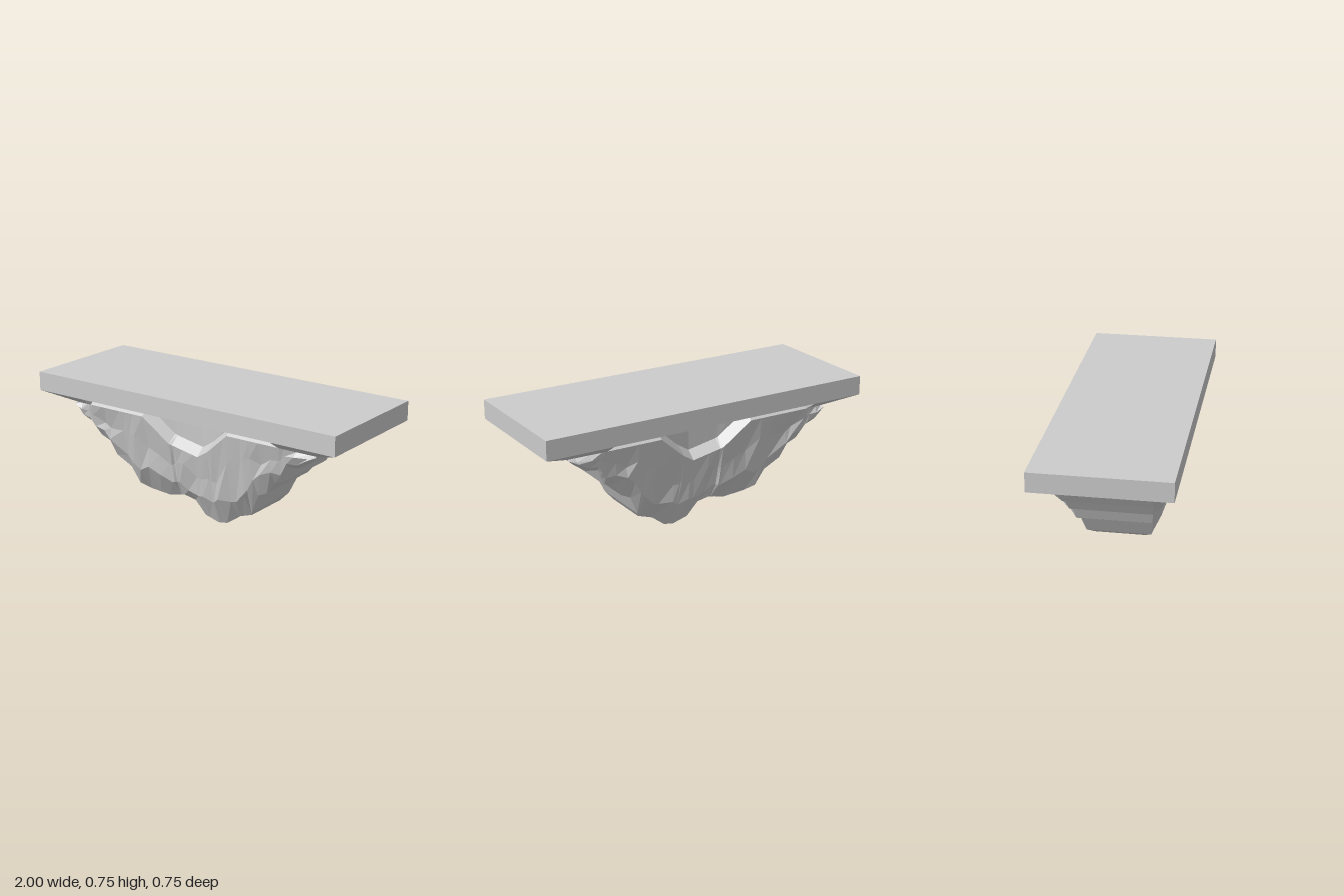
import * as THREE from 'three';

const rockMaterial = new THREE.MeshStandardMaterial({ color: 0xcccccc, flatShading: true, side: THREE.DoubleSide });

// Underside outline of the rock, [x, y]
const OUTLINE = [
  [-0.82, 0.57], [-0.77, 0.485], [-0.71, 0.46], [-0.67, 0.39], [-0.6, 0.36], [-0.57, 0.285], [-0.47, 0.23],
  [-0.42, 0.135], [-0.37, 0.1], [-0.23, 0.09], [-0.15, 0.115], [-0.1, 0.13], [-0.05, 0.1], [0.02, 0.025],
  [0.11, 0], [0.17, 0.01], [0.25, 0.07], [0.34, 0.1], [0.37, 0.14], [0.42, 0.25], [0.48, 0.28],
  [0.54, 0.355], [0.59, 0.37], [0.64, 0.47], [0.71, 0.48], [0.78, 0.53], [0.82, 0.57],
];
// Upper ridge of the rock face, [x, y], dipping in the middle
const RIDGE = [
  [-0.82, 0.57], [-0.68, 0.59], [-0.3, 0.59], [-0.13, 0.45], [0.05, 0.41],
  [0.13, 0.46], [0.28, 0.59], [0.61, 0.59], [0.82, 0.57],
];
// Half depth of the ridge, [x, z]
const RIDGE_DEPTH = [
  [-0.82, 0.25], [-0.68, 0.3], [-0.3, 0.3], [-0.13, 0.272], [0.05, 0.262],
  [0.13, 0.272], [0.28, 0.3], [0.61, 0.3], [0.82, 0.25],
];
// Half depth of the underside edge and of the bulging face, [y, z]
const EDGE_DEPTH = [[0, 0.137], [0.1, 0.14], [0.14, 0.185], [0.25, 0.2], [0.36, 0.215], [0.47, 0.235], [0.57, 0.25]];
const BULGE_DEPTH = [[0, 0.137], [0.06, 0.17], [0.12, 0.215], [0.23, 0.24], [0.44, 0.272], [0.59, 0.3]];

function sample(table, t) {
  if (t <= table[0][0]) return table[0][1];
  for (let i = 1; i < table.length; i++) {
    const [a, va] = table[i - 1], [b, vb] = table[i];
    if (t <= b) return va + (vb - va) * (t - a) / (b - a);
  }
  return table[table.length - 1][1];
}

// One column of the rock face, from the underside edge up to the slab
function column(x) {
  const y0 = sample(OUTLINE, x), y1 = sample(RIDGE, x);
  const z0 = sample(EDGE_DEPTH, y0), z1 = sample(RIDGE_DEPTH, x);
  const points = [[x, y0, z0]];
  const inset = Math.abs(x) < 0.125 ? 0.012 : 0; // middle chunk sits back between two cracks
  [0.3, 0.65].forEach((s, row) => {
    const wave = Math.sin(x * 17 + row * 2.1) * 0.6 + Math.sin(x * 41 + row * 4) * 0.4;
    const t = s + wave * 0.1;
    const y = y0 + (y1 - y0) * t;
    const limit = z0 + (z1 - z0) * Math.sqrt(t);
    const z = Math.min(sample(BULGE_DEPTH, y), limit + 0.035) + wave * 0.012 - 0.008 - inset;
    points.push([x + Math.sin(x * 23 + row) * 0.008, y, z]);
  });
  points.push([x, y1, z1 - inset * 0.5]);
  // Shelf behind the ridge, then the recessed wall up to the slab
  const shelf = x > -0.69 && x < 0.62 ? 0.06 : 0;
  points.push([x, y1 + shelf * 0.75, z1 - shelf]);
  points.push([x, 0.645, z1 - shelf + 0.005]);
  return points;
}

function facetMesh(name, quads) {
  const positions = [];
  for (const [a, b, c, d] of quads) positions.push(...a, ...b, ...c, ...a, ...c, ...d);
  const geometry = new THREE.BufferGeometry();
  geometry.setAttribute('position', new THREE.Float32BufferAttribute(positions, 3));
  geometry.computeVertexNormals();
  const mesh = new THREE.Mesh(geometry, rockMaterial);
  mesh.name = name;
  return mesh;
}

const mirrorZ = ([x, y, z]) => [x, y, -z];
// Adds the mirrored twin of every quad, with its winding reversed
const withBack = (quads) => [...quads, ...quads.map((q) => q.map(mirrorZ).reverse())];

export function createModel() {
  const group = new THREE.Group();
  group.name = 'floatingRockPlatform';

  // Flat platform on top
  const slab = new THREE.Mesh(
    new THREE.BoxGeometry(2, 0.11, 0.75),
    new THREE.MeshStandardMaterial({ color: 0xcccccc, flatShading: true })
  );
  slab.name = 'platformSlab';
  slab.position.y = 0.695;
  group.add(slab);

  // Rock columns, with doubled ones at the cracks and the shelf ends
  const xs = [...OUTLINE.map((p) => p[0]), -0.3, -0.135, -0.12, 0.05, 0.12, 0.135, 0.28, -0.685, 0.615]
    .sort((a, b) => a - b);
  const columns = xs.map(column);
  const faces = [], underside = [];
  for (let i = 0; i < columns.length - 1; i++) {
    const a = columns[i], b = columns[i + 1];
    for (let j = 0; j < a.length - 1; j++) faces.push([a[j], b[j], b[j + 1], a[j + 1]]);
    underside.push([a[0], mirrorZ(a[0]), mirrorZ(b[0]), b[0]]);
  }
  group.add(facetMesh('rockFaces', withBack(faces)));
  group.add(facetMesh('rockUnderside', underside));

  // Sloped shoulders joining the rock ends to the slab corners
  for (const [side, inner] of [[1, 0.61], [-1, 0.68]]) {
    const corner = [side, 0.64, 0.375], end = [side * 0.82, 0.57, 0.25];
    const top = [side * inner, 0.64, 0.375], ridge = [side * inner, 0.59, 0.3];
    const back = [side * inner, 0.64, 0.24];
    const slopes = withBack([[corner, top, ridge, end], [top, back, ridge, ridge]]);
    slopes.push([corner, end, mirrorZ(end), mirrorZ(corner)]);
    // Keep every slope facing outward on both ends
    const quads = side > 0 ? slopes : slopes.map((q) => [...q].reverse());
    group.add(facetMesh(side > 0 ? 'leftShoulder' : 'rightShoulder', quads));
  }
  return group;
}
